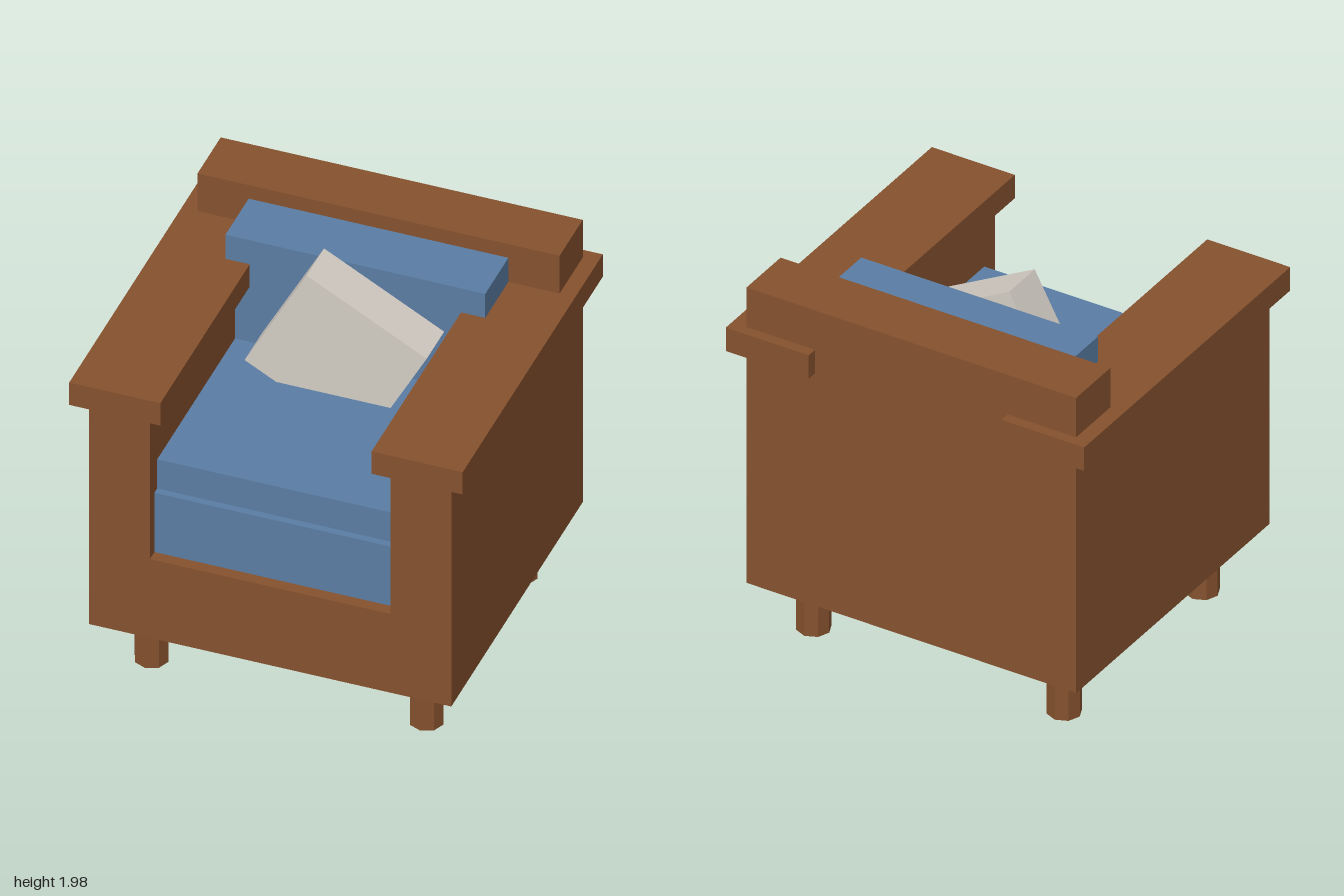
import * as THREE from 'three';

export function createModel() {
  const group = new THREE.Group();
  group.name = 'armchair';

  const material = (name, color) => {
    const m = new THREE.MeshStandardMaterial({ color });
    m.name = name;
    return m;
  };
  const wood = material('brown wood', 0x85512e);
  const blue = material('blue fabric', 0x5a7da3);
  const cream = material('cream fabric', 0xd2ccc3);

  // Box given by its limits on each axis
  const box = (name, mat, [x0, x1], [y0, y1], [z0, z1]) => {
    const mesh = new THREE.Mesh(new THREE.BoxGeometry(x1 - x0, y1 - y0, z1 - z0), mat);
    mesh.position.set((x0 + x1) / 2, (y0 + y1) / 2, (z0 + z1) / 2);
    mesh.name = name;
    group.add(mesh);
    return mesh;
  };

  // Wooden body
  box('base', wood, [-0.92, 0.92], [0.315, 0.78], [-0.873, 0.873]);
  box('backrest', wood, [-0.92, 0.92], [0.78, 1.982], [-0.873, -0.565]);

  for (const s of [1, -1]) {
    const side = s > 0 ? 'left' : 'right';
    const span = (a, b) => (s > 0 ? [a, b] : [-b, -a]);
    // Arm panels with overhanging caps
    box(side + 'Arm', wood, span(0.612, 0.92), [0.78, 1.628], [-0.565, 0.873]);
    box(side + 'ArmCap', wood, span(0.537, 1), [1.628, 1.76], [-0.93, 0.93]);

    // Octagonal legs
    for (const t of [1, -1]) {
      const geo = new THREE.CylinderGeometry(0.086, 0.086, 0.315, 8).toNonIndexed();
      geo.computeVertexNormals();
      const leg = new THREE.Mesh(geo, wood);
      leg.position.set(s * 0.699, 0.1575, t * 0.622);
      leg.name = side + (t > 0 ? 'FrontLeg' : 'BackLeg');
      group.add(leg);
    }
  }

  // Cushions
  box('lowerCushion', blue, [-0.612, 0.612], [0.78, 1.13], [-0.565, 0.812]);
  box('seatCushion', blue, [-0.612, 0.612], [1.13, 1.302], [-0.565, 0.775]);
  box('backCushion', blue, [-0.66, 0.66], [1.302, 1.902], [-0.565, -0.257]);

  // Tilted throw pillow, its lowest corner sunk into the seat
  const pillow = box('pillow', cream, [-0.35, 0.344], [1.184, 1.846], [-0.235, -0.003]);
  pillow.rotation.z = -0.496;

  return group;
}
